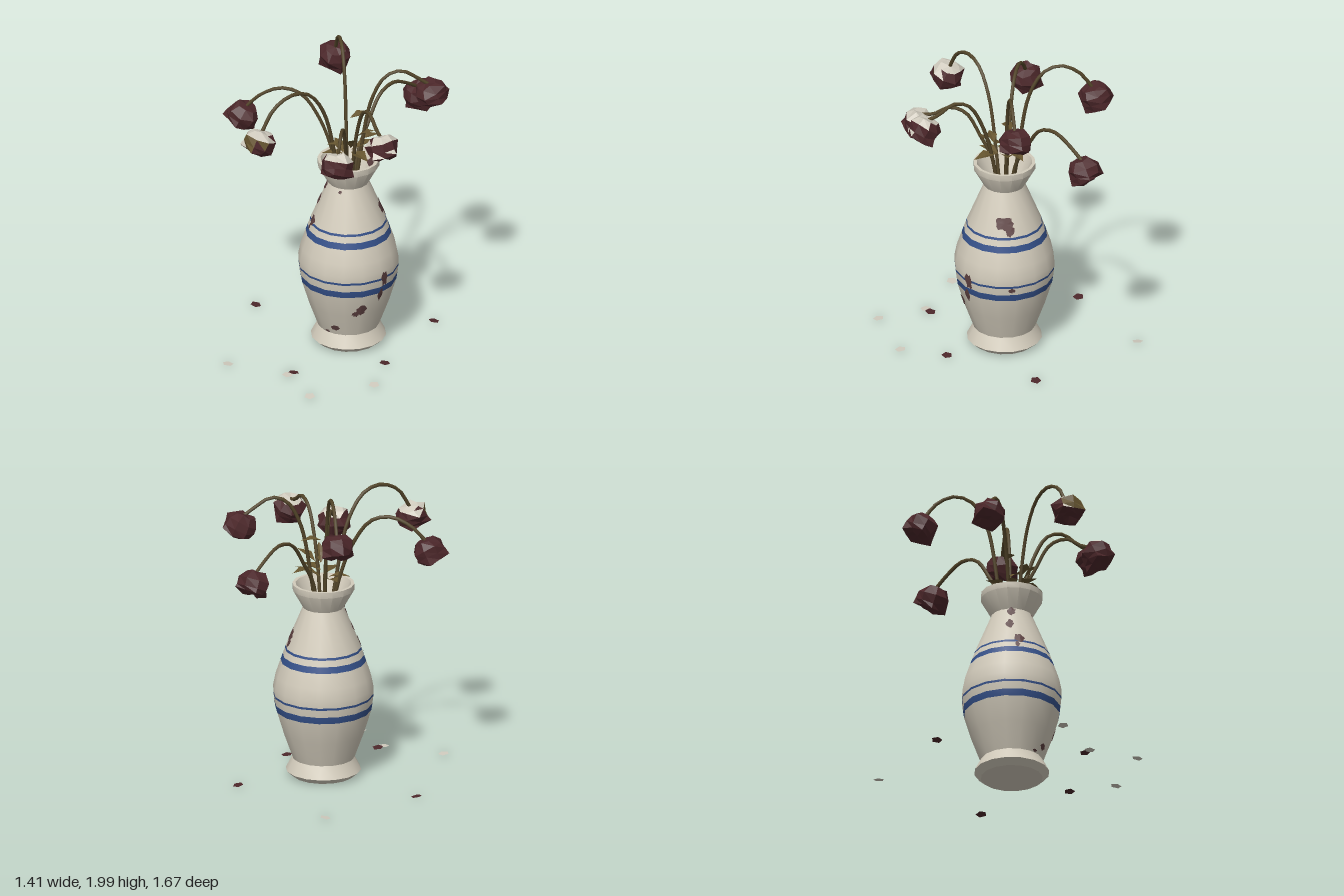
import * as THREE from 'three';
import { toCreasedNormals } from 'three/addons/utils/BufferGeometryUtils.js';

const mat = (name, color, side = THREE.FrontSide) => {
  const m = new THREE.MeshStandardMaterial({ color, side });
  m.name = name;
  return m;
};
const ivory = mat('ivory glaze', 0xd2cbbb);
const blue = mat('blue band', 0x345089);
const stain = mat('brown stain', 0x5c4040, THREE.DoubleSide);
const crimson = mat('dried crimson', 0x4c272a, THREE.DoubleSide);
const pale = mat('pale petal', 0xcfcabd, THREE.DoubleSide);
const stemBrown = mat('dry stem', 0x54462a);
const olive = mat('dry leaf', 0x65542f, THREE.DoubleSide);

const CX = 0.055, CZ = -0.033, SIDES = 16;

let seed = 7;
const rnd = () => (seed = (seed * 16807) % 2147483647) / 2147483647;
const jitter = (a) => (rnd() * 2 - 1) * a;

// Outer wall as [radius, height]
const outer = [
  [0.2, 0.01], [0.243, 0.048], [0.2, 0.13], [0.262, 0.3], [0.309, 0.455], [0.316, 0.5],
  [0.322, 0.55], [0.323, 0.565], [0.324, 0.61], [0.308, 0.69], [0.276, 0.785], [0.262, 0.825],
  [0.248, 0.865], [0.243, 0.88], [0.132, 1.15], [0.2, 1.27], [0.2, 1.31],
];
const inner = [[0.18, 1.31], [0.112, 1.15], [0.16, 0.95], [0, 0.95]];
const bands = [0.455, 0.55, 0.785, 0.865];

function radiusAt(y) {
  for (let i = 1; i < outer.length; i++) {
    const [r0, y0] = outer[i - 1], [r1, y1] = outer[i];
    if (y <= y1) return r0 + (r1 - r0) * (y - y0) / (y1 - y0);
  }
  return 0.2;
}

function vase() {
  const pts = [[0, 0.01], ...outer, ...inner].map((p) => new THREE.Vector2(...p));
  const geo = new THREE.LatheGeometry(pts, SIDES);
  const rows = pts.length - 1;
  for (let i = 0; i < SIDES; i++)
    for (let j = 0; j < rows; j++)
      geo.addGroup((i * rows + j) * 6, 6, bands.includes(pts[j].y) ? 1 : 0);
  const mesh = new THREE.Mesh(toCreasedNormals(geo, 0.55), [ivory, blue]);
  mesh.name = 'vase';
  return mesh;
}

// Ragged thin patch that hugs the faceted wall
function stainPatch([deg, y, w, h, inside]) {
  const n = 16, pos = [0, 1, 2].flatMap((ring) => Array.from({ length: n }, () => {
    return [ring / 2, ring === 2 ? 0.75 + rnd() * 0.55 : 1];
  }));
  const step = Math.PI * 2 / SIDES, verts = [], idx = [];
  pos.forEach(([s, k], i) => {
    const t = (i % n) / n * Math.PI * 2;
    const py = Math.max(0.02, y + Math.sin(t) * h * s * k);
    const base = inside ? 0.112 + (py - 1.15) * 0.425 : radiusAt(py);
    const a = THREE.MathUtils.degToRad(deg) + Math.cos(t) * w * s * k / base;
    const local = a - (Math.floor(a / step) + 0.5) * step;
    const r = base * Math.cos(step / 2) / Math.cos(local) + (inside ? -0.004 : 0.004);
    verts.push(Math.sin(a) * r, py, Math.cos(a) * r);
  });
  for (let ring = 0; ring < 2; ring++)
    for (let i = 0; i < n; i++) {
      const a = ring * n + i, b = ring * n + (i + 1) % n;
      idx.push(a, a + n, b + n, a, b + n, b);
    }
  const geo = new THREE.BufferGeometry();
  geo.setAttribute('position', new THREE.Float32BufferAttribute(verts, 3));
  geo.setIndex(idx);
  geo.computeVertexNormals();
  const mesh = new THREE.Mesh(geo, stain);
  mesh.name = 'stain';
  return mesh;
}

// Faceted drooping bloom; its open end points along axis
function bloom(center, axis, tint) {
  const n = 8;
  const profile = [[0, -0.075], [0.065, -0.07], [0.103, -0.025], [0.1, 0.025], [0.092, 0.065], [0.05, 0.08], [0, 0.06]];
  const src = new THREE.LatheGeometry(profile.map((p) => new THREE.Vector2(...p)), n);
  const p = src.attributes.position, rows = profile.length;
  for (let j = 1; j < rows - 1; j++)
    for (let i = 0; i < n; i++) {
      const tip = j === 4 ? (i % 2 ? 1.18 : 0.88) : j === 2 ? (i % 2 ? 0.96 : 1.06) : 1;
      const k = tip + jitter(0.08), dy = jitter(0.012);
      for (const v of i === 0 ? [j, n * rows + j] : [i * rows + j])
        p.setXYZ(v, p.getX(v) * k, p.getY(v) + dy, p.getZ(v) * k);
    }
  src.applyQuaternion(new THREE.Quaternion().setFromUnitVectors(new THREE.Vector3(0, 1, 0), axis));
  const geo = src.toNonIndexed();
  geo.computeVertexNormals();
  const nm = geo.attributes.normal;
  for (let f = 0; f < nm.count; f += 3) {
    const top = tint && nm.getY(f) > 0.6;
    const sepal = tint === 2 && !top && nm.getZ(f) > 0.55 && nm.getY(f) > -0.3;
    geo.addGroup(f, 3, top ? 1 : sepal ? 2 : 0);
  }
  const mesh = new THREE.Mesh(geo, [crimson, pale, olive]);
  mesh.name = 'bloom';
  mesh.position.copy(center);
  return mesh;
}

// Arching stem with a bloom at its end
function flower([x, y, z, peak, tint]) {
  const g = new THREE.Group();
  g.name = 'flower';
  const dx = x - CX, dz = z - CZ, len = Math.hypot(dx, dz);
  const at = (s, h) => new THREE.Vector3(CX + dx * s, h, CZ + dz * s);
  const curve = new THREE.CatmullRomCurve3([
    at(0.05, 0.95), at(0.14, 1.32), at(0.28, peak - 0.2), at(0.45, peak - 0.04),
    at(0.64, peak - 0.008), at(0.84, peak - 0.07), at(0.97, y + 0.06),
  ]);
  const stem = new THREE.Mesh(new THREE.TubeGeometry(curve, 22, 0.012, 6), stemBrown);
  stem.name = 'stem';
  const axis = new THREE.Vector3(dx / len * 0.45, -0.9, dz / len * 0.45).normalize();
  g.add(stem, bloom(new THREE.Vector3(x, y, z), axis, tint));
  return g;
}

// Pointed leaf folded along its midrib
function leaf([x, y, z, yaw, pitch, len]) {
  const w = len * 0.27, geo = new THREE.BufferGeometry();
  const v = [0, 0, 0, -w, 0.015, len * 0.45, 0, 0, len * 0.5, w, 0.015, len * 0.45, 0, -0.015, len];
  geo.setAttribute('position', new THREE.Float32BufferAttribute(v, 3));
  geo.setIndex([0, 2, 1, 0, 3, 2, 1, 2, 4, 2, 3, 4]);
  const flat = geo.toNonIndexed();
  flat.computeVertexNormals();
  const mesh = new THREE.Mesh(flat, olive);
  mesh.name = 'leaf';
  mesh.position.set(x, y, z);
  mesh.rotation.set(-pitch, yaw, 0, 'YXZ');
  return mesh;
}

function fallenPetal([x, z, m]) {
  const geo = new THREE.CircleGeometry(0.036, 5);
  geo.rotateX(-Math.PI / 2);
  const mesh = new THREE.Mesh(geo, m);
  mesh.name = 'fallenPetal';
  mesh.position.set(x, 0.015, z);
  mesh.rotation.set(jitter(0.15), rnd() * 6, jitter(0.15));
  return mesh;
}

export function createModel() {
  const model = new THREE.Group();
  model.name = 'vaseOfWiltedFlowers';

  // Vase and its stains: angle from the front, height, half width, half height
  const pot = new THREE.Group();
  pot.name = 'stainedVase';
  pot.position.set(CX, 0, CZ);
  pot.add(vase());
  [
    [-37, 1.125, 0.025, 0.03], [-40, 1.02, 0.024, 0.03], [-24, 0.895, 0.03, 0.035], [-28, 0.845, 0.015, 0.02],
    [28, 0.185, 0.026, 0.02], [10, 0.142, 0.015, 0.01], [67, 0.345, 0.035, 0.035], [60, 0.315, 0.02, 0.02],
    [97, 0.555, 0.03, 0.05], [92, 0.44, 0.018, 0.04], [144, 0.965, 0.05, 0.04], [152, 0.92, 0.025, 0.035],
    [152, 0.535, 0.02, 0.015], [28, 1.13, 0.01, 0.012], [150, 1.25, 0.06, 0.035, true],
  ].forEach((s) => pot.add(stainPatch(s)));
  model.add(pot);

  // Flowers: bloom position, arch height, tint
  [
    [-0.07, 1.5, -0.72, 1.69, 0], [0.32, 1.74, -0.5, 1.92, 0], [-0.445, 1.76, -0.335, 1.995, 0],
    [0.58, 1.65, 0.12, 1.8, 1], [0.435, 1.545, 0.375, 1.68, 1], [-0.46, 1.57, 0.42, 1.79, 0],
    [-0.01, 1.635, 0.655, 1.9, 2],
  ].forEach((f) => model.add(flower(f)));

  // Leaves: base position, yaw, pitch, length
  [
    [0.06, 1.6, -0.04, 2.8, 0.2, 0.15], [0.05, 1.36, -0.06, 2.5, 0.5, 0.18], [0.02, 1.34, -0.02, -1.9, 0.3, 0.16],
    [0.1, 1.38, -0.02, 1.5, 0.1, 0.18], [0.08, 1.36, 0.0, 0.3, 0.2, 0.15], [0.04, 1.35, 0.0, -0.7, 0.1, 0.14],
    [0.12, 1.42, 0.0, 1.0, 0.9, 0.15], [0.08, 1.46, -0.08, 2.0, 0.6, 0.15], [0.06, 1.42, -0.12, 3.0, 0.1, 0.15],
    [0.1, 1.44, 0.02, -0.4, 0.3, 0.13],
  ].forEach((l) => model.add(leaf(l)));

  // Petals on the ground
  [
    [-0.61, -0.57, pale], [0.67, 0.26, pale], [0.21, 0.6, pale], [0.53, 0.68, pale], [-0.15, 0.8, pale],
    [0.23, -0.6, crimson], [-0.67, 0.14, crimson], [0.48, 0.015, crimson], [0.21, 0.55, crimson],
  ].forEach((p) => model.add(fallenPetal(p)));

  return model;
}
